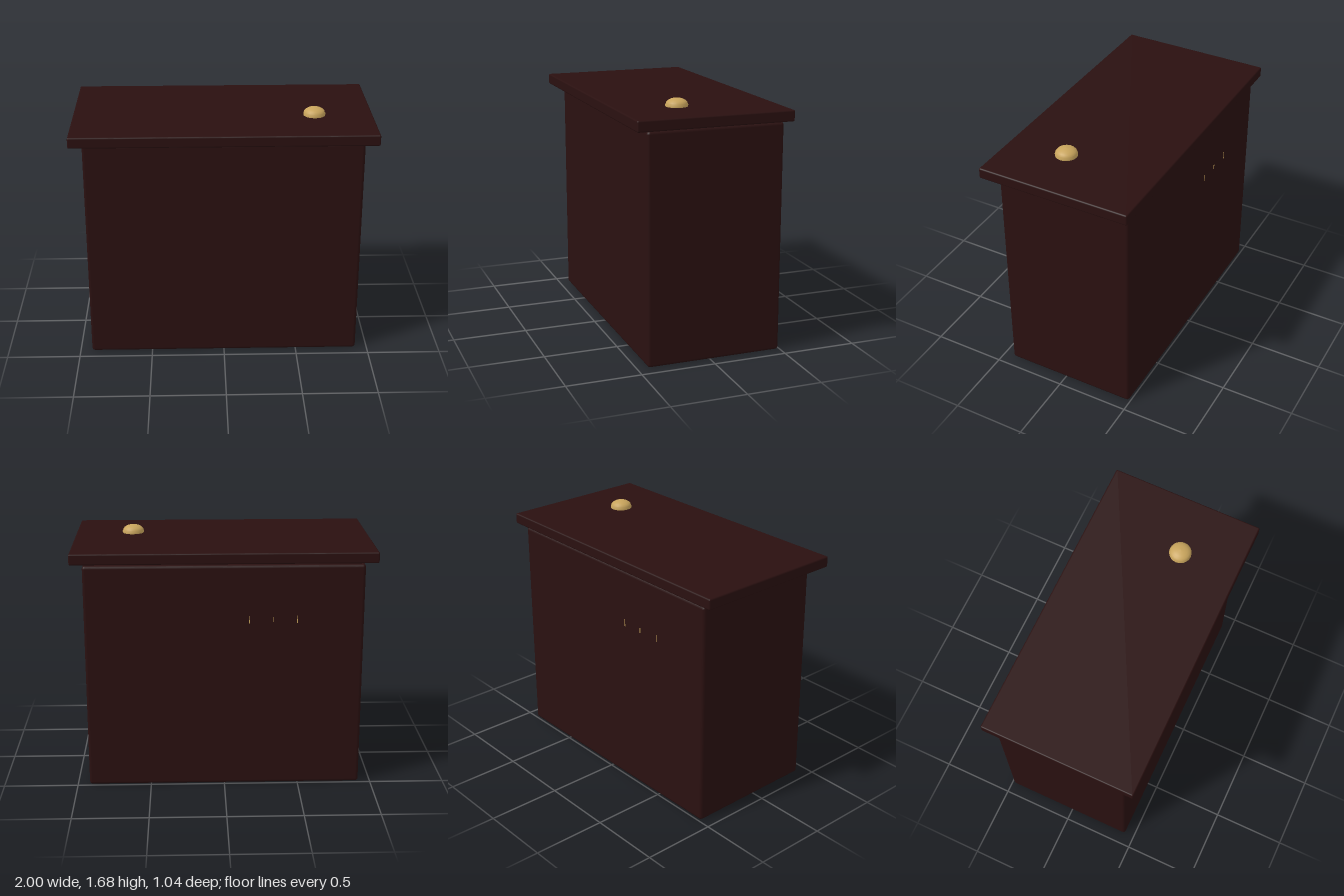
import * as THREE from 'three';
import { RoundedBoxGeometry } from 'three/addons/geometries/RoundedBoxGeometry.js';

export function createModel() {
  const group = new THREE.Group();
  const wood = new THREE.MeshStandardMaterial({ color: 0x2a1010 });
  wood.name = 'darkWood';
  const brass = new THREE.MeshStandardMaterial({ color: 0xc8a45c });
  brass.name = 'brass';

  const add = (name, geometry, material, x, y, z) => {
    const mesh = new THREE.Mesh(geometry, material);
    mesh.name = name;
    mesh.position.set(x, y, z);
    group.add(mesh);
    return mesh;
  };

  // Cabinet, set slightly towards the back under the overhanging top
  add('cabinet', new RoundedBoxGeometry(1.84, 1.535, 0.92, 2, 0.02), wood, 0, 0.7675, -0.03);

  // Counter top, floating a hair above the cabinet
  add('counterTop', new RoundedBoxGeometry(2, 0.073, 1.045, 2, 0.01), wood, 0, 1.5865, 0);

  // Service bell: low base ring, narrow groove and shallow dome
  const bellProfile = [
    [0.073, 0], [0.074, 0.012], [0.068, 0.022], [0.069, 0.026],
    [0.06, 0.037], [0.045, 0.046], [0.025, 0.053], [0, 0.056],
  ].map(([r, y]) => new THREE.Vector2(r, y));
  add('bell', new THREE.LatheGeometry(bellProfile, 24), brass, 0.61, 1.622, 0.12);

  // Hairline brass inlays on the back
  [[-0.165, 0.05], [-0.32, 0.035], [-0.48, 0.05]].forEach(([x, h]) =>
    add('backInlay', new THREE.BoxGeometry(0.005, h, 0.004), brass, x, 1.17, -0.49));

  return group;
}
